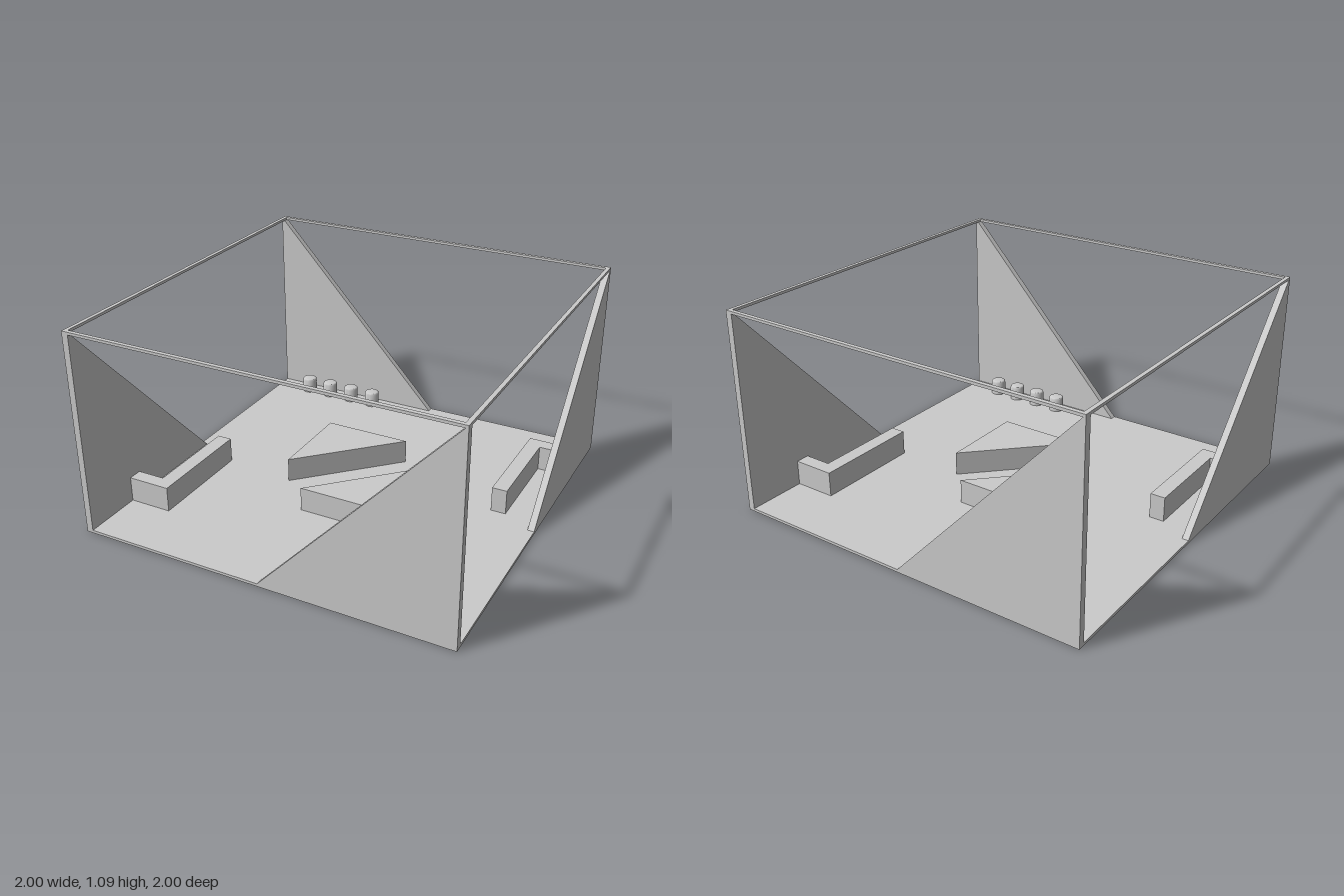
import * as THREE from 'three';
import { toCreasedNormals } from 'three/addons/utils/BufferGeometryUtils.js';

const material = new THREE.MeshStandardMaterial({ color: 0xcccccc });
const HEIGHT = 1.09, FLOOR = 0.015, WALL = 0.035, RIM_W = 0.021, RIM_H = 0.014;

function add(parent, name, geometry, x = 0, y = 0, z = 0) {
  const mesh = new THREE.Mesh(geometry, material);
  mesh.name = name;
  mesh.position.set(x, y, z);
  parent.add(mesh);
  return mesh;
}

function extrude(points, depth) {
  const shape = new THREE.Shape(points.map(([x, y]) => new THREE.Vector2(x, y)));
  return new THREE.ExtrudeGeometry(shape, { depth, bevelEnabled: false });
}

// Upright prism from a floor plan given as [x, z] points
function prism(plan, height) {
  return extrude(plan.map(([x, z]) => [x, -z]), height).rotateX(-Math.PI / 2);
}

export function createModel() {
  const model = new THREE.Group();
  model.name = 'pavilion';

  add(model, 'floor', new THREE.BoxGeometry(2, FLOOR, 2), 0, FLOOR / 2, 0);

  // One triangular wall and one rim beam per side, turned about the centre
  const wall = extrude([[0, FLOOR], [1, FLOOR], [1, HEIGHT]], WALL);
  const beam = new THREE.BoxGeometry(2 - RIM_W, RIM_H, RIM_W);
  for (let i = 0; i < 4; i++) {
    const side = new THREE.Group();
    side.name = 'side' + (i + 1);
    side.rotation.y = i * Math.PI / 2;
    add(side, 'triangularWall', wall, 0, 0, 1 - WALL);
    add(side, 'rimBeam', beam, -RIM_W / 2, HEIGHT - RIM_H / 2, 1 - RIM_W / 2);
    model.add(side);
  }

  // Stool with a softly rounded top edge
  const r = 0.042, top = 0.102, round = 0.012;
  const profile = [[0, 0], [r, 0], [r, top - round]];
  for (let i = 1; i <= 4; i++) {
    const a = i * Math.PI / 8;
    profile.push([r - round + round * Math.cos(a), top - round + round * Math.sin(a)]);
  }
  profile.push([0, top]);
  const stool = toCreasedNormals(
    new THREE.LatheGeometry(profile.map(([x, y]) => new THREE.Vector2(x, y)), 32), 0.6);

  // L-shaped counter against a wall
  const counter = prism([[-0.965, 0.605], [-0.815, 0.605], [-0.815, 0.09],
    [-0.735, 0.09], [-0.735, 0.68], [-0.965, 0.68]], 0.15);

  // Counters and stools repeat by a half turn
  for (let i = 0; i < 2; i++) {
    const half = new THREE.Group();
    half.name = i ? 'backFurniture' : 'frontFurniture';
    half.rotation.y = i * Math.PI;
    add(half, 'counter', counter);
    for (let k = 0; k < 4; k++) add(half, 'stool', stool, 0.352 + k * 0.1455, 0, 0.892);
    model.add(half);
  }

  // Two triangular platforms in the middle
  add(model, 'backPlatform', prism([[-0.34, -0.34], [0.135, -0.34], [-0.34, 0.135]], 0.145));
  add(model, 'frontPlatform', prism([[0.34, 0.357], [-0.135, 0.357], [0.34, -0.118]], 0.145));

  return model;
}
